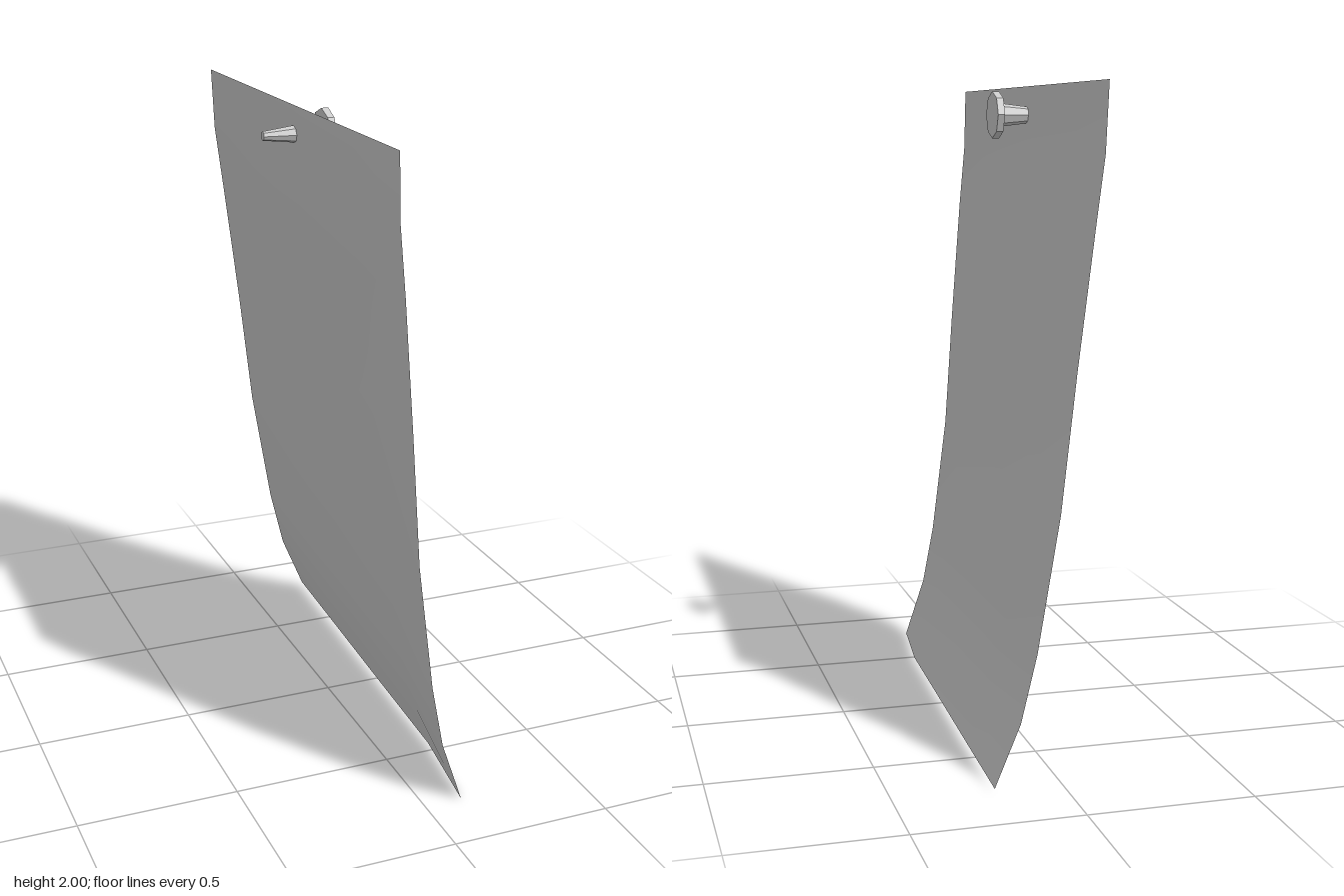
import * as THREE from 'three';

// Hanging sheet: a front-edge and a back-edge profile, blended across the width
function createSheet(material) {
  // [y, x at front edge, x at back edge]
  const rows = [
    [0, 0.12, 0.207], [0.2, 0.053, 0.13], [0.4, 0.015, 0.082], [0.8, -0.035, 0.015],
    [1.2, -0.062, -0.03], [1.6, -0.092, -0.08], [1.8, -0.11, -0.106], [2, -0.115, -0.115],
  ];
  // [z, blend from front to back profile]
  const columns = [[0.79, 0], [0.47, 0.45], [0, 0.65], [-0.4, 0.83], [-0.79, 1]];
  const positions = [], index = [], n = columns.length;
  rows.forEach(([y, front, back], i) => columns.forEach(([z, t], j) => {
    // the bottom edge lifts slightly toward the back
    positions.push(THREE.MathUtils.lerp(front, back, t), i === 0 ? 0.015 * t : y, z);
    if (i && j) {
      const a = (i - 1) * n + j - 1, b = a + 1, c = a + n, d = c + 1;
      index.push(a, b, d, a, d, c);
    }
  }));
  const geometry = new THREE.BufferGeometry();
  geometry.setAttribute('position', new THREE.Float32BufferAttribute(positions, 3));
  geometry.setIndex(index);
  geometry.computeVertexNormals();
  const sheet = new THREE.Mesh(geometry, material);
  sheet.name = 'sheet';
  return sheet;
}

// Eight-sided nail: tapered shank and flat head, axis along x
function createNail(material) {
  const nail = new THREE.Group();
  nail.name = 'nail';
  const shank = new THREE.Mesh(new THREE.CylinderGeometry(0.037, 0.014, 0.19, 8), material);
  shank.name = 'nailShank';
  shank.position.y = -0.117;
  const head = new THREE.Mesh(new THREE.CylinderGeometry(0.073, 0.073, 0.022, 8), material);
  head.name = 'nailHead';
  head.position.y = -0.011;
  nail.add(shank, head);
  nail.rotation.z = -Math.PI / 2;
  nail.position.y = 1.911;
  return nail;
}

export function createModel() {
  const model = new THREE.Group();
  model.name = 'nailedSheet';
  model.add(
    createSheet(new THREE.MeshStandardMaterial({ color: 0xcccccc, side: THREE.DoubleSide })),
    createNail(new THREE.MeshStandardMaterial({ color: 0xcccccc, flatShading: true })),
  );
  return model;
}
